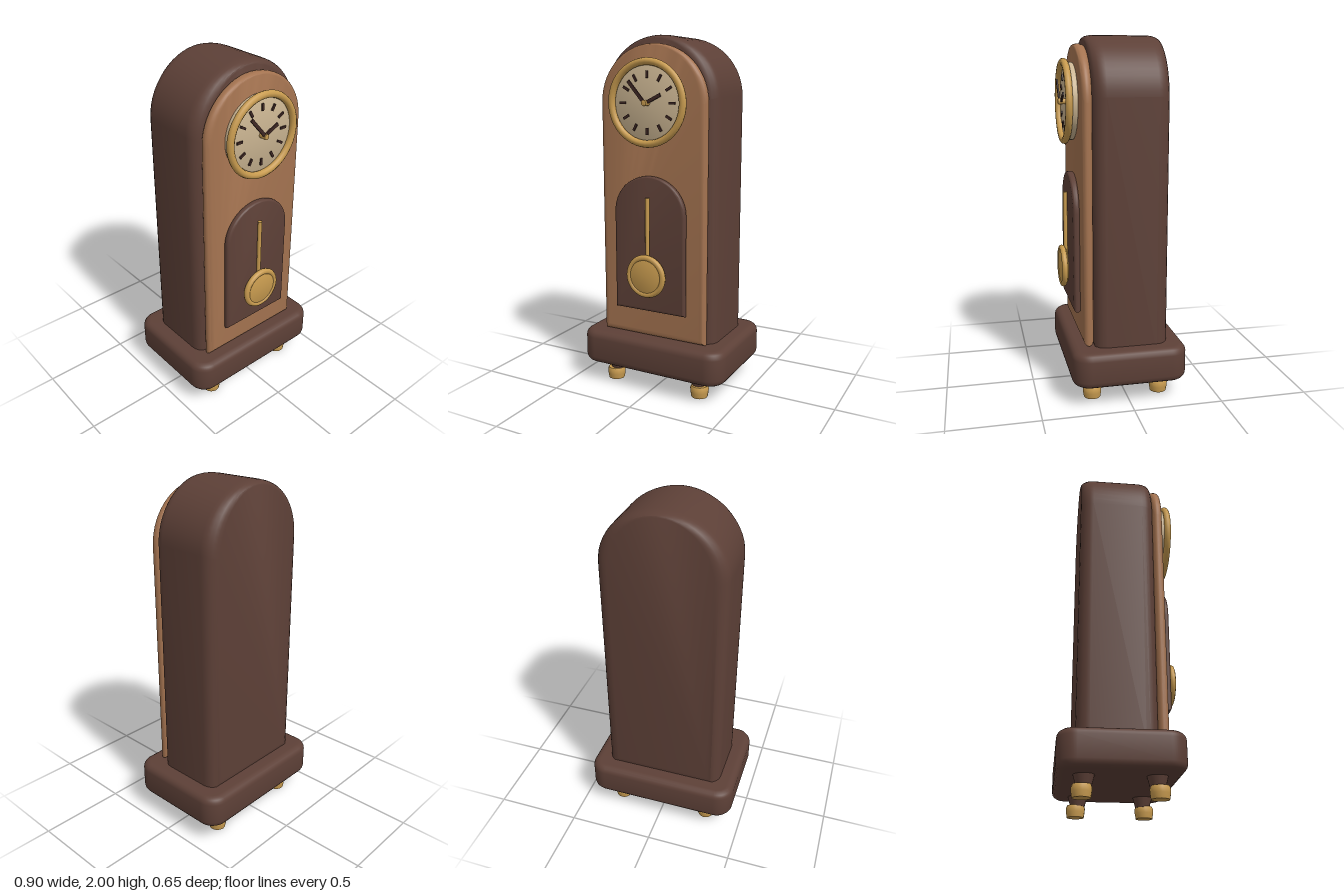
import * as THREE from 'three';
import { toCreasedNormals } from 'three/addons/utils/BufferGeometryUtils.js';

const material = (name, color) => {
  const m = new THREE.MeshStandardMaterial({ color });
  m.name = name;
  return m;
};

// Outline of an arch-topped panel as [x, y] points
function archOutline(w, bottom, top, rise, steps = 28) {
  const pts = [[-w, bottom], [w, bottom]];
  for (let i = 0; i <= steps; i++) {
    const a = (i / steps) * Math.PI;
    pts.push([w * Math.cos(a), top - rise + rise * Math.sin(a)]);
  }
  return pts;
}

// Arch-topped slab with rounded edges, lofted from back to front.
// The rounding is shallower over the crown (crown = share of the side inset).
function archSlab({ w, bottom, top, rise, z0, z1, round, depth, crown }) {
  const rings = [];
  const n = 5;
  for (let side = 0; side < 2; side++) {
    for (let i = 0; i <= n; i++) {
      const a = ((side ? n - i : i) / n) * Math.PI / 2;
      const inset = round * (1 - Math.sin(a));
      const d = depth * (1 - Math.cos(a));
      const z = side ? z1 - d : z0 + d;
      rings.push(archOutline(w - inset, bottom + inset, top - inset * crown, rise)
        .map(([x, y]) => [x, y, z]));
    }
  }
  const count = rings[0].length;
  const pos = [];
  const idx = [];
  rings.forEach((ring) => ring.forEach((p) => pos.push(...p)));
  for (let r = 0; r < rings.length - 1; r++) {
    for (let i = 0; i < count; i++) {
      const a = r * count + i, b = r * count + (i + 1) % count;
      idx.push(a, b, b + count, a, b + count, a + count);
    }
  }
  // flat back and front
  const last = (rings.length - 1) * count;
  for (let i = 1; i < count - 1; i++) {
    idx.push(0, i + 1, i, last, last + i, last + i + 1);
  }
  const g = new THREE.BufferGeometry();
  g.setAttribute('position', new THREE.Float32BufferAttribute(pos, 3));
  g.setIndex(idx);
  return toCreasedNormals(g, 0.55);
}

// Round disc facing +z with softened rims
function disc(radius, depth, edge) {
  const h = depth / 2;
  const pts = [[0, -h], [radius - edge, -h], [radius - edge * 0.3, -h + edge * 0.3], [radius, -h + edge],
    [radius, h - edge], [radius - edge * 0.3, h - edge * 0.3], [radius - edge, h], [0, h]]
    .map(([x, y]) => new THREE.Vector2(x, y));
  return toCreasedNormals(new THREE.LatheGeometry(pts, 40).rotateX(Math.PI / 2), 0.5);
}

// Plinth block: rounded rectangle with rounded upper and lower edges
function plinthBlock(hx, hz, corner, bevel, height) {
  const x = hx - bevel, z = hz - bevel, r = corner - bevel;
  const s = new THREE.Shape();
  s.absarc(x - r, z - r, r, 0, Math.PI / 2);
  s.absarc(-x + r, z - r, r, Math.PI / 2, Math.PI);
  s.absarc(-x + r, -z + r, r, Math.PI, Math.PI * 1.5);
  s.absarc(x - r, -z + r, r, Math.PI * 1.5, Math.PI * 2);
  const g = new THREE.ExtrudeGeometry(s, {
    depth: height - 2 * bevel, bevelSize: bevel, bevelThickness: bevel, bevelSegments: 4, curveSegments: 6,
  });
  g.translate(0, 0, bevel).rotateX(-Math.PI / 2);
  return toCreasedNormals(g, 0.6);
}

export function createModel() {
  const model = new THREE.Group();
  model.name = 'longcaseClock';

  const darkWood = material('darkWood', 0x5d4037);
  const lightWood = material('lightWood', 0xa47350);
  const cream = material('cream', 0xcbb592);
  const brass = material('brass', 0xc89b4f);
  const blackWood = material('blackWood', 0x3e2723);

  const add = (name, geometry, mat, x = 0, y = 0, z = 0, parent = model) => {
    const mesh = new THREE.Mesh(geometry, mat);
    mesh.name = name;
    mesh.position.set(x, y, z);
    parent.add(mesh);
    return mesh;
  };

  // Case, front panel and pendulum door
  add('case', archSlab({ w: 0.355, bottom: 0.27, top: 2, rise: 0.33, z0: -0.232, z1: 0.188,
    round: 0.07, depth: 0.07, crown: 0.3 }), darkWood);
  add('frontPanel', archSlab({ w: 0.325, bottom: 0.318, top: 1.952, rise: 0.31, z0: 0.186, z1: 0.244,
    round: 0.035, depth: 0.027, crown: 0.3 }), lightWood);
  add('pendulumDoor', archSlab({ w: 0.22, bottom: 0.48, top: 1.247, rise: 0.205, z0: 0.242, z1: 0.28,
    round: 0.018, depth: 0.016, crown: 0.5 }), darkWood);

  // Plinth
  add('plinth', plinthBlock(0.45, 0.322, 0.1, 0.04, 0.197), darkWood, 0, 0.114, -0.004);

  // Feet: dark necks leaning inwards onto brass caps
  const cap = toCreasedNormals(new THREE.LatheGeometry(
    [[0, 0], [0.047, 0], [0.052, 0.03], [0.053, 0.05], [0.047, 0.066], [0, 0.066]]
      .map(([x, y]) => new THREE.Vector2(x, y)), 16), 0.6);
  const neck = new THREE.CylinderGeometry(0.056, 0.04, 0.06, 16);
  for (const sx of [-1, 1]) {
    for (const sz of [-1, 1]) {
      const foot = new THREE.Group();
      foot.name = 'foot';
      foot.position.set(sx * 0.277, 0, sz * 0.193);
      model.add(foot);
      add('footCap', cap, brass, 0, 0, 0, foot);
      add('footNeck', neck, darkWood, -sx * 0.008, 0.09, -sz * 0.01, foot);
    }
  }

  // Dial
  const dial = new THREE.Group();
  dial.name = 'dial';
  dial.position.y = 1.64;
  model.add(dial);
  add('dialFace', disc(0.216, 0.042, 0.014), cream, 0, 0, 0.262, dial);
  add('dialRing', new THREE.TorusGeometry(0.216, 0.02, 10, 48), brass, 0, 0, 0.293, dial);
  const tick = new THREE.BoxGeometry(0.013, 0.038, 0.009);
  for (let i = 0; i < 12; i++) {
    const a = (i / 12) * Math.PI * 2;
    const mark = add('hourMark', tick, blackWood, Math.sin(a) * 0.15, Math.cos(a) * 0.15, 0.286, dial);
    mark.rotation.z = -a;
  }

  // Hands
  const hand = (name, length, width, angle, z) => {
    const g = new THREE.BoxGeometry(width, length, 0.009).translate(0, length / 2, 0);
    add(name, g, blackWood, 0, 0, z, dial).rotation.z = angle;
  };
  hand('minuteHand', 0.152, 0.018, 0.71, 0.315);
  hand('hourHand', 0.1, 0.018, -1.12, 0.306);
  add('handHub', disc(0.016, 0.05, 0.005), brass, 0, 0, 0.3, dial);

  // Pendulum
  const pendulum = new THREE.Group();
  pendulum.name = 'pendulum';
  model.add(pendulum);
  add('pendulumRod', new THREE.CylinderGeometry(0.012, 0.012, 0.475, 12), brass, 0, 0.893, 0.292, pendulum);
  add('bob', disc(0.104, 0.036, 0.008), brass, 0, 0.695, 0.306, pendulum);
  add('bobRing', new THREE.TorusGeometry(0.105, 0.017, 8, 36), brass, 0, 0.695, 0.312, pendulum);

  return model;
}
